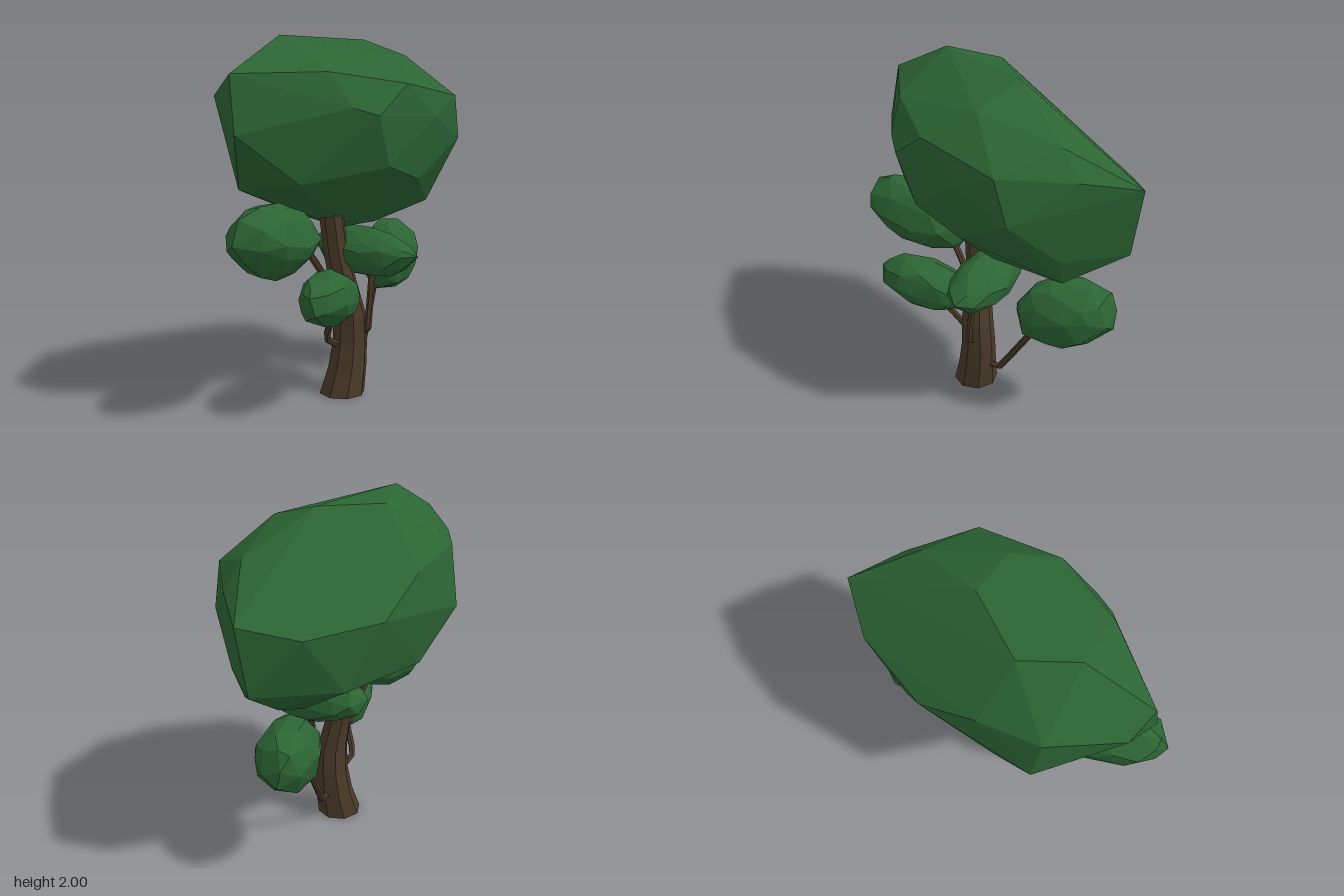
import * as THREE from 'three';
import { ConvexGeometry } from 'three/addons/geometries/ConvexGeometry.js';

const leafMat = new THREE.MeshStandardMaterial({ color: 0x2c6534, flatShading: true });
const barkMat = new THREE.MeshStandardMaterial({ color: 0x4a3a29, flatShading: true });

function addMesh(group, name, geometry, material) {
  const mesh = new THREE.Mesh(geometry, material);
  mesh.name = name;
  group.add(mesh);
  return mesh;
}

function seeded(seed) {
  let s = seed;
  return () => (s = (s * 16807) % 2147483647) / 2147483647;
}

// Trunk: eight-sided column whose rings follow [y, x, z, radius]
function trunkGeometry() {
  const rings = [
    [0, 0.082, 0.078, 0.13], [0.15, 0.1, 0.05, 0.112], [0.3, 0.108, 0.035, 0.1],
    [0.45, 0.11, 0.04, 0.094], [0.6, 0.085, 0.055, 0.08], [0.8, 0.045, 0.08, 0.072],
    [1.12, 0.02, 0.115, 0.068],
  ];
  const geo = new THREE.CylinderGeometry(1, 1, 1, 8, rings.length - 1);
  const p = geo.attributes.position;
  for (let i = 0; i < p.count; i++) {
    const [y, x, z, r] = rings[Math.round((p.getY(i) + 0.5) * (rings.length - 1))];
    p.setXYZ(i, x + p.getX(i) * r, y, z + p.getZ(i) * r);
  }
  geo.computeVertexNormals();
  return geo;
}

// Branch: thin bent limb made of straight runs
function branchGeometry(points) {
  const curve = new THREE.CatmullRomCurve3(points.map((q) => new THREE.Vector3(...q)), false, 'catmullrom', 0.1);
  return new THREE.TubeGeometry(curve, 8, 0.02, 6);
}

// Leaf clump: faceted ball with slightly shifted corners
function clumpGeometry(seed) {
  const rand = seeded(seed);
  const corners = new Map();
  const p = new THREE.IcosahedronGeometry(1, 1).attributes.position;
  for (let i = 0; i < p.count; i++) {
    const v = new THREE.Vector3().fromBufferAttribute(p, i);
    const key = v.toArray().map((n) => Math.round(n * 100)).join();
    if (!corners.has(key)) {
      const shift = new THREE.Vector3(rand() - 0.5, rand() - 0.5, rand() - 0.5).multiplyScalar(0.3);
      corners.set(key, v.add(shift).normalize().multiplyScalar(0.97 + rand() * 0.09));
    }
  }
  return new ConvexGeometry([...corners.values()]);
}

export function createModel() {
  const tree = new THREE.Group();
  tree.name = 'tree';

  addMesh(tree, 'trunk', trunkGeometry(), barkMat);

  const branches = {
    upperFrontBranch: [[0.07, 0.5, 0.08], [0.04, 0.61, 0.14], [0.02, 0.74, 0.215], [0, 0.86, 0.31]],
    lowerFrontBranch: [[0.08, 0.28, 0.1], [0.055, 0.34, 0.2], [0.14, 0.5, 0.27], [0.18, 0.6, 0.32]],
    sideBranch: [[0.17, 0.35, 0.02], [0.215, 0.37, 0.02], [0.22, 0.55, 0], [0.22, 0.76, -0.03]],
    backBranch: [[0.1, 0.16, -0.03], [0.09, 0.165, -0.11], [0.04, 0.53, -0.34], [0.03, 0.66, -0.42]],
  };
  for (const [name, points] of Object.entries(branches)) {
    addMesh(tree, name, branchGeometry(points), barkMat);
  }

  // Leaf clumps: centre, half sizes, then turn about y, tilt about x, roll about z
  const clumps = [
    ['upperFrontLeaves', [-0.015, 0.947, 0.575], [0.188, 0.202, 0.36], 0.12, -0.14, 0],
    ['lowerFrontLeaves', [0.19, 0.628, 0.37], [0.145, 0.146, 0.295], 0.25, -0.14, 0],
    ['sideLeaves', [0.15, 0.813, -0.055], [0.312, 0.138, 0.16], 0.1, 0, -0.1],
    ['backLeaves', [0.04, 0.707, -0.522], [0.177, 0.205, 0.293], 0.35, 0.25, 0],
  ];
  clumps.forEach(([name, centre, size, turn, tilt, roll], i) => {
    const mesh = addMesh(tree, name, clumpGeometry(101 + i * 977), leafMat);
    mesh.position.set(...centre);
    mesh.scale.set(...size);
    mesh.rotation.set(tilt, turn, roll, 'YXZ');
  });

  // Crown: large faceted hull, corners listed from the top down
  const crown = [
    [-0.1, 2, 0.4], [0.05, 1.99, -0.2], [-0.2, 1.97, 0.1], [0.34, 1.9, -0.15],
    [-0.12, 1.8, 0.79], [0.24, 1.81, 0.45], [0.24, 1.79, -0.59], [0.49, 1.75, 0.08],
    [-0.47, 1.73, 0.35], [-0.28, 1.69, 0.72], [0.53, 1.68, -0.4], [0.27, 1.65, -0.71],
    [-0.45, 1.67, 0], [0.36, 1.63, 0.41], [0.45, 1.59, 0.3], [0.04, 1.59, -0.94],
    [0.53, 1.57, -0.16], [-0.43, 1.5, -0.33], [-0.21, 1.5, -0.74], [-0.07, 1.5, 0.82],
    [0.52, 1.44, -0.47], [-0.53, 1.39, 0.32], [0.44, 1.32, 0.18], [0.13, 1.24, 0.55],
    [0.45, 1.23, -0.12], [-0.22, 1.2, 0.61], [0.3, 1.2, -0.64], [0.02, 1.2, -0.88],
    [-0.3, 1.15, -0.5], [-0.43, 1.12, 0.08], [0.05, 1.02, 0.17], [-0.2, 1, 0.08],
    [0.24, 1.04, -0.62], [0.05, 1, -0.59], [0.17, 0.97, -0.12], [0.02, 0.94, 0],
    [0.02, 0.93, -0.4],
  ];
  addMesh(tree, 'crown', new ConvexGeometry(crown.map((q) => new THREE.Vector3(...q))), leafMat);

  return tree;
}
